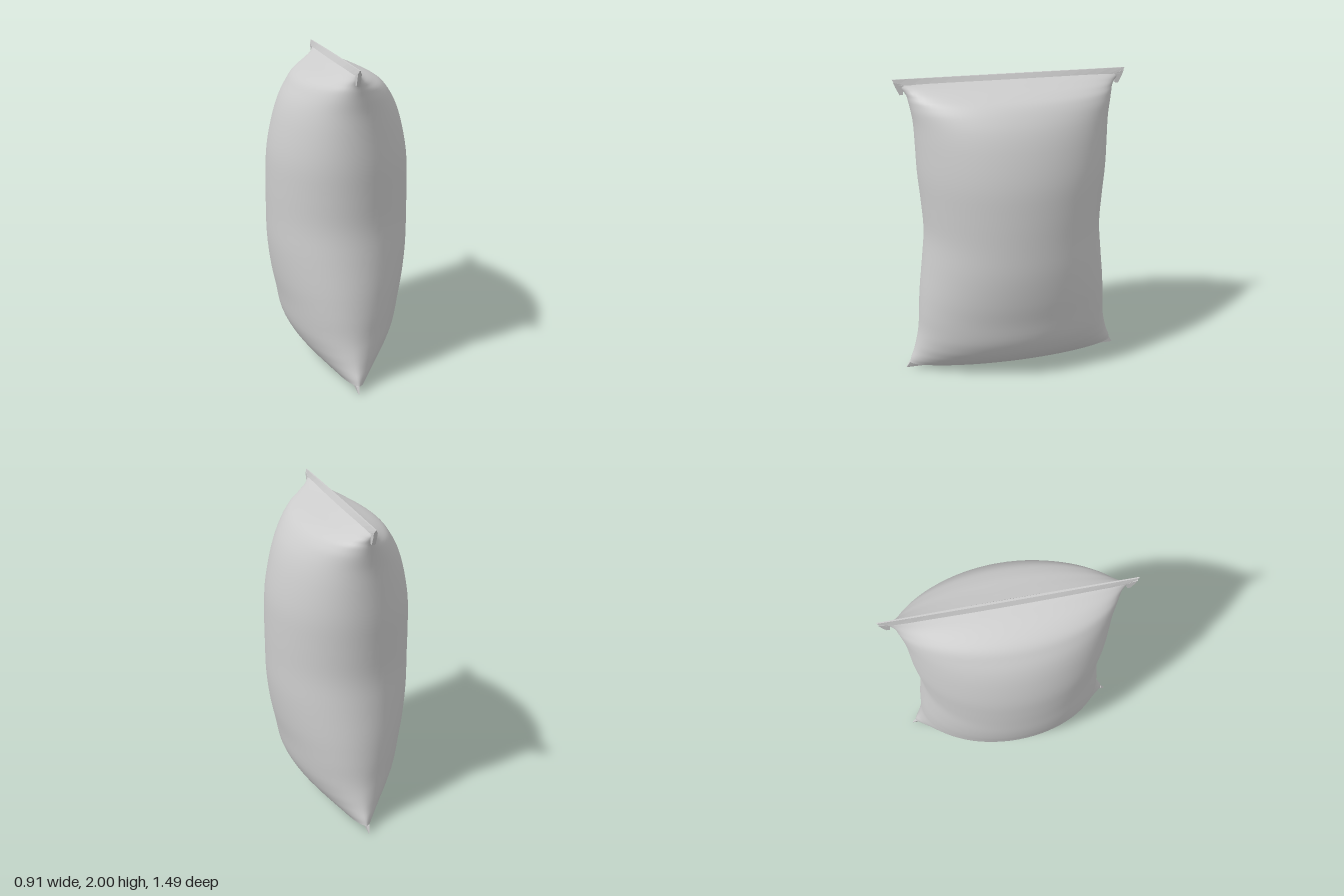
import * as THREE from 'three';

// Rows of the pillow: height, half width (x), half depth (z), centre x, roundness power
const ROWS = [
  [0.04, 0.15, 0.72, 0, 1.25], [0.08, 0.205, 0.71, 0, 1.2], [0.13, 0.262, 0.69, 0, 1.15],
  [0.2, 0.32, 0.67, 0, 1.1], [0.3, 0.37, 0.65, 0, 1.05], [0.45, 0.4, 0.64, 0, 1],
  [0.6, 0.43, 0.628, 0, 1], [0.8, 0.453, 0.605, 0, 1], [1, 0.456, 0.587, 0, 1],
  [1.2, 0.454, 0.598, 0, 1], [1.4, 0.442, 0.615, 0, 1], [1.6, 0.4, 0.622, 0, 1],
  [1.72, 0.357, 0.628, 0, 1], [1.8, 0.31, 0.64, 0, 1], [1.86, 0.26, 0.652, -0.003, 1.05],
  [1.9, 0.19, 0.662, -0.006, 1.1], [1.935, 0.1, 0.685, -0.01, 1.15], [1.968, 0.02, 0.715, -0.015, 1.2],
];
const AROUND = 72;

// Point on one row; the power pinches the outline towards the two side edges
function rowPoint([y, a, b, cx, p], j) {
  const t = (j / AROUND) * Math.PI * 2;
  const s = Math.sin(t);
  return [cx + a * Math.sign(s) * Math.abs(s) ** p, y, b * Math.cos(t)];
}

// Smoothly resample the rows
function smoothRows(steps) {
  const shape = new THREE.CatmullRomCurve3(ROWS.map(r => new THREE.Vector3(r[0], r[1], r[2])), false, 'centripetal');
  const extra = new THREE.CatmullRomCurve3(ROWS.map(r => new THREE.Vector3(r[3], r[4], 0)), false, 'catmullrom', 0);
  return Array.from({ length: steps + 1 }, (_, i) => {
    const s = shape.getPoint(i / steps), e = extra.getPoint(i / steps);
    return [s.x, s.y, s.z, e.x, e.y];
  });
}

function bodyGeometry() {
  const rows = smoothRows(68);
  const pos = [], index = [];
  for (const row of rows) for (let j = 0; j < AROUND; j++) pos.push(...rowPoint(row, j));
  for (let i = 0; i < rows.length - 1; i++) {
    for (let j = 0; j < AROUND; j++) {
      const a = i * AROUND + j, b = i * AROUND + (j + 1) % AROUND;
      index.push(a, b, b + AROUND, a, b + AROUND, a + AROUND);
    }
  }
  const geo = new THREE.BufferGeometry();
  geo.setAttribute('position', new THREE.Float32BufferAttribute(pos, 3));
  geo.setIndex(index);
  geo.computeVertexNormals();
  return geo;
}

// Flat base outline, turned to face down
function baseGeometry() {
  const pts = [];
  for (let j = 0; j < AROUND; j++) {
    const [x, , z] = rowPoint(ROWS[0], j);
    pts.push(new THREE.Vector2(x, z));
  }
  return new THREE.ShapeGeometry(new THREE.Shape(pts)).rotateX(Math.PI / 2).translate(0, ROWS[0][0], 0);
}

// Crimped strip: wide where it meets the bag, thin and longer at its free edge
function sealGeometry(yBag, yFree, cx) {
  const geo = new THREE.BoxGeometry(1, 1, 2, 1, 1, 16);
  const p = geo.attributes.position;
  for (let i = 0; i < p.count; i++) {
    const free = (p.getY(i) > 0) === (yFree > yBag);
    const z = p.getZ(i);
    const taper = 1 - 0.55 * z * z;
    p.setXYZ(i, cx + Math.sign(p.getX(i)) * (free ? 0.007 : 0.024) * taper,
      free ? yFree : yBag, z * (free ? 0.745 : 0.72));
  }
  const flat = geo.toNonIndexed();
  flat.computeVertexNormals();
  return flat;
}

// Small folded tab hanging from each end of the top strip
function tabGeometry() {
  const outline = [[0.738, 1.985], [0.725, 1.95], [0.703, 1.905], [0.683, 1.905], [0.675, 1.965]];
  const shape = new THREE.Shape(outline.map(([z, y]) => new THREE.Vector2(z, y)));
  return new THREE.ExtrudeGeometry(shape, { depth: 0.022, bevelEnabled: false })
    .rotateY(-Math.PI / 2).translate(-0.005, 0, 0);
}

export function createModel() {
  const group = new THREE.Group();
  group.name = 'pillowBag';
  const film = new THREE.MeshStandardMaterial({ color: 0xcccccc, side: THREE.DoubleSide });
  film.name = 'light grey film';

  const add = (name, geo) => {
    const mesh = new THREE.Mesh(geo, film);
    mesh.name = name;
    group.add(mesh);
    return mesh;
  };

  add('bagBody', bodyGeometry());
  add('bagBase', baseGeometry());
  add('topSeal', sealGeometry(1.963, 2, -0.016));
  add('bottomSeal', sealGeometry(0.042, 0, -0.008));

  // Tabs at the front and back ends
  add('frontTab', tabGeometry());
  const back = add('backTab', tabGeometry());
  back.rotation.y = Math.PI;
  back.position.x = -0.032;
  return group;
}
